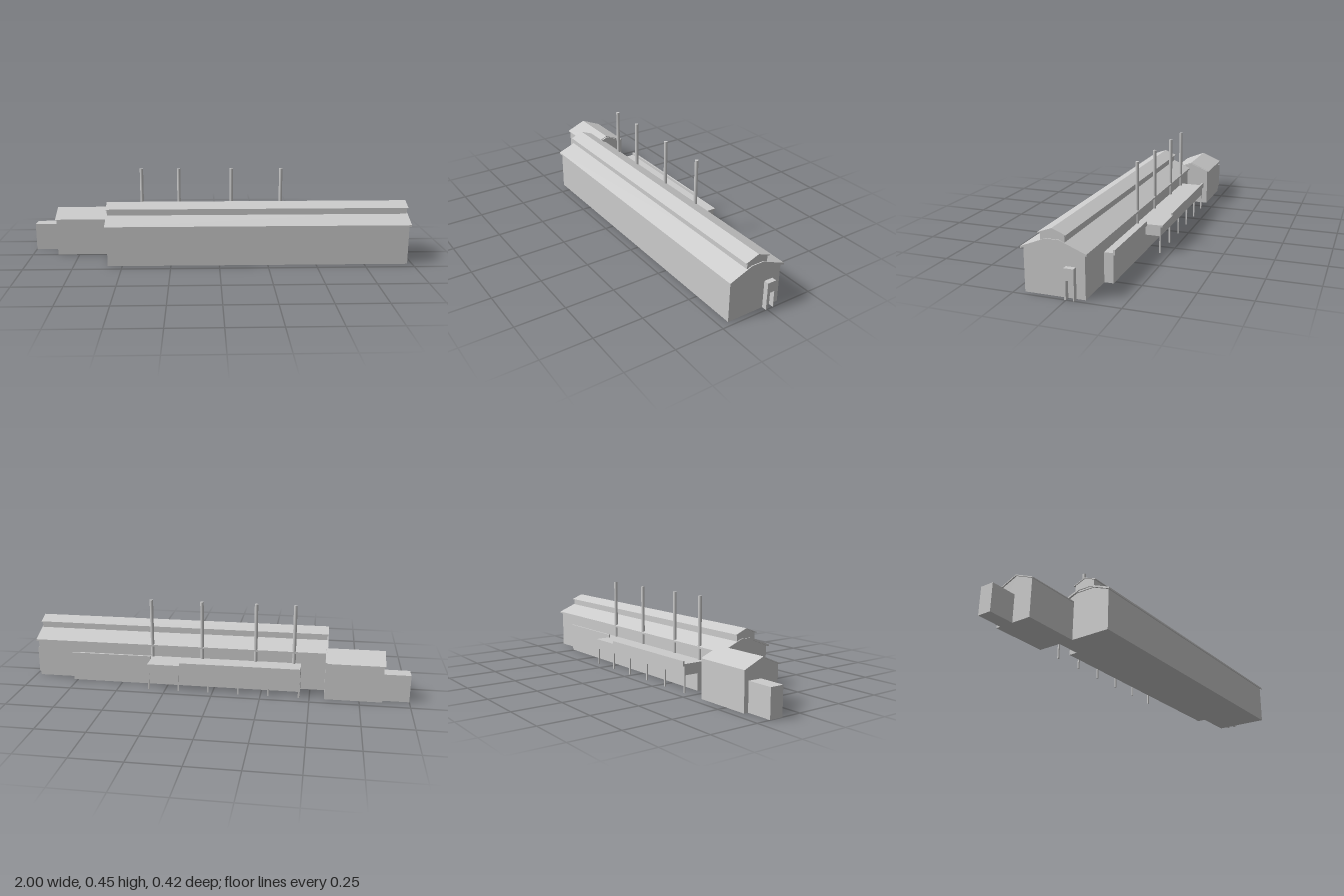
import * as THREE from 'three';

const material = new THREE.MeshStandardMaterial({ color: 0xcccccc, flatShading: true });
const smooth = new THREE.MeshStandardMaterial({ color: 0xcccccc });

export function createModel() {
  const model = new THREE.Group();
  model.name = 'factory';

  const add = (name, geometry, mat = material) => {
    const mesh = new THREE.Mesh(geometry, mat);
    mesh.name = name;
    model.add(mesh);
    return mesh;
  };

  // Box given by its limits on each axis
  const box = (name, x0, x1, y0, y1, z0, z1) =>
    add(name, new THREE.BoxGeometry(x1 - x0, y1 - y0, z1 - z0))
      .position.set((x0 + x1) / 2, (y0 + y1) / 2, (z0 + z1) / 2);

  // Cross-section of [z, y] points carried along x
  const prism = (name, x0, x1, points) => {
    const shape = new THREE.Shape(points.map(([z, y]) => new THREE.Vector2(-z, y)));
    const geometry = new THREE.ExtrudeGeometry(shape, { depth: x1 - x0, bevelEnabled: false });
    geometry.rotateY(Math.PI / 2).translate(x0, 0, 0);
    add(name, geometry);
  };

  // Thin roof sheet following a line of [z, y] points
  const roof = (name, x0, x1, line, t) =>
    prism(name, x0, x1, [...line, ...line.map(([z, y]) => [z, y - t]).reverse()]);

  // Main hall
  prism('hallWalls', -0.575, 0.975,
    [[0.203, 0], [0.203, 0.205], [0.095, 0.249], [0.033, 0.249], [-0.08, 0.202], [-0.08, 0]]);
  roof('hallRoof', -0.585, 0.985,
    [[0.212, 0.21], [0.095, 0.257], [0.033, 0.257], [-0.091, 0.207]], 0.009);

  // Raised ridge monitor
  prism('monitorWalls', -0.58, 0.98,
    [[0.12, 0.24], [0.12, 0.28], [0.063, 0.302], [0.008, 0.28], [0.008, 0.24]]);
  roof('monitorRoof', -0.585, 0.985, [[0.13, 0.281], [0.063, 0.306], [0, 0.281]], 0.004);

  // Entrance surround with a recessed doorway
  prism('entranceSurround', 0.975, 1,
    [[0.008, 0], [0.008, 0.142], [-0.038, 0.142], [-0.038, 0],
      [-0.033, 0], [-0.033, 0.087], [0, 0.087], [0, 0]]);

  // Side house with gabled roof, and its low annex
  prism('houseWalls', -0.865, -0.575,
    [[-0.003, 0], [-0.003, 0.196], [-0.1, 0.236], [-0.201, 0.196], [-0.201, 0]]);
  roof('houseRoof', -0.872, -0.583, [[0.005, 0.196], [-0.1, 0.24], [-0.208, 0.194]], 0.005);
  box('annex', -1, -0.86, 0, 0.142, -0.177, -0.105);

  // Rear lean-to and the overhanging loading bay
  box('leanTo', -0.45, 0.77, 0, 0.142, -0.124, -0.075);
  box('loadingBay', -0.45, 0.34, 0.087, 0.142, -0.203, -0.12);
  box('leanToParapet', 0.34, 0.77, 0.132, 0.157, -0.132, -0.124);
  box('bayEdge', -0.45, 0.34, 0.132, 0.142, -0.212, -0.203);
  box('bayParapet', -0.45, 0.17, 0.142, 0.157, -0.212, -0.203);

  // Posts carrying the loading bay
  for (let i = 0; i < 6; i++) {
    const x = -0.446 + i * 0.1564;
    box('post', x - 0.004, x + 0.004, 0, 0.088, -0.203, -0.196);
  }

  // Chimneys
  for (const x of [-0.412, -0.212, 0.071, 0.339]) {
    add('chimney', new THREE.CylinderGeometry(0.0092, 0.0092, 0.313, 16), smooth)
      .position.set(x, 0.2965, -0.082);
  }

  return model;
}
